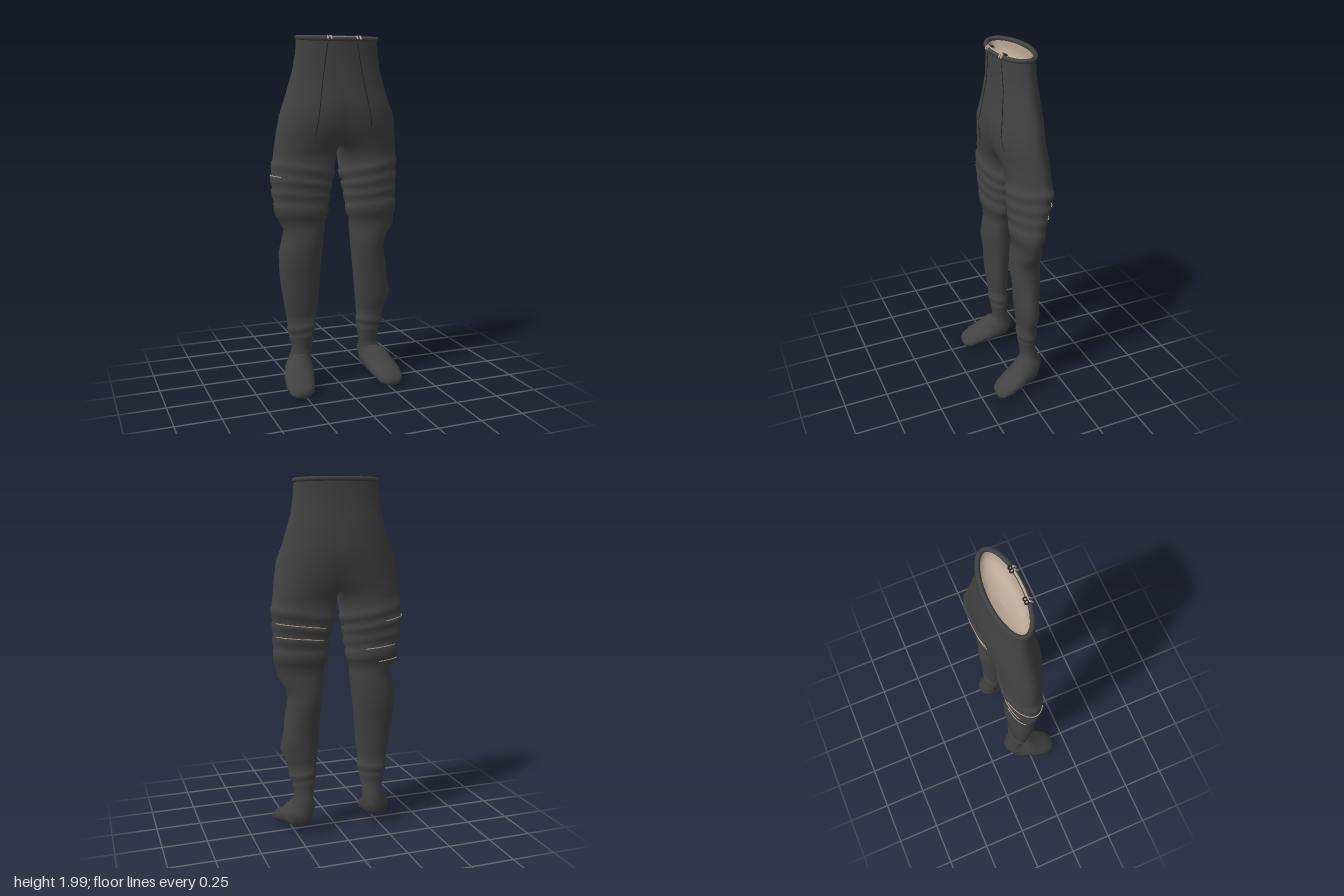
import * as THREE from 'three';
import { mergeVertices, toCreasedNormals } from 'three/addons/utils/BufferGeometryUtils.js';

const ARC = 24, INNER = 6, N = ARC + INNER; // points around each cross-section

// Body sections: y, inner x, outer x (left), outer x (right), front z, back z.
// A negative inner x is cut at the middle, which joins both halves into the hips.
const SECTIONS = [
  [1.975, -0.235, 0.235, 0.235, 0.057, -0.127],
  [1.9, -0.24, 0.24, 0.24, 0.058, -0.13],
  [1.8, -0.257, 0.257, 0.257, 0.06, -0.142],
  [1.65, -0.296, 0.303, 0.303, 0.082, -0.165],
  [1.56, -0.27, 0.337, 0.337, 0.093, -0.16],
  [1.46, -0.17, 0.357, 0.357, 0.072, -0.15],
  [1.4, -0.07, 0.365, 0.365, 0.058, -0.145],
  [1.365, 0.0, 0.37, 0.37, 0.052, -0.143],
  [1.29, 0.018, 0.378, 0.374, 0.044, -0.138],
  [1.2, 0.036, 0.368, 0.384, 0.044, -0.132],
  [1.1, 0.052, 0.362, 0.376, 0.036, -0.117],
  [0.985, 0.072, 0.354, 0.352, 0.03, -0.112],
  [0.93, 0.076, 0.345, 0.315, 0.032, -0.118],
  [0.86, 0.083, 0.298, 0.33, 0.038, -0.124],
  [0.8, 0.09, 0.285, 0.344, 0.042, -0.13],
  [0.7, 0.1, 0.305, 0.342, 0.027, -0.121],
  [0.61, 0.108, 0.312, 0.334, 0.023, -0.112],
  [0.52, 0.114, 0.333, 0.318, 0.018, -0.107],
  [0.44, 0.123, 0.303, 0.305, 0.006, -0.106],
  [0.3, 0.138, 0.262, 0.28, -0.012, -0.1],
  [0.23, 0.15, 0.257, 0.266, -0.019, -0.11],
];

// Gathered cloth rolls: y and how far the cloth stands out
const FOLDS = [
  [1.29, 0.001], [1.283, 0.009], [1.25, 0.008], [1.217, 0], [1.21, 0.007], [1.18, 0.008],
  [1.147, 0], [1.14, 0.006], [1.11, 0.008], [1.075, 0], [1.068, 0.006], [1.03, 0.009], [1.0, 0.007], [0.985, -0.002],
  [0.38, -0.001], [0.372, 0.006], [0.345, 0.007], [0.322, -0.001], [0.315, 0.004], [0.3, 0.003],
];

// Foot sections: y, z, centre x, half width, half height, pitch in degrees
const FOOT = [
  [0.175, -0.081, 0.214, 0.067, 0.07, 25],
  [0.135, -0.058, 0.232, 0.08, 0.085, 55],
  [0.093, 0.025, 0.252, 0.089, 0.054, 74],
  [0.065, 0.09, 0.266, 0.084, 0.047, 80],
  [0.042, 0.14, 0.27, 0.07, 0.035, 86],
  [0.034, 0.162, 0.272, 0.045, 0.024, 88],
];

// Folds climb towards the outside of the thigh, most of all at the top
function foldSlant(y) {
  if (y > 0.98 && y < 1.3) return 0.05 + 0.4 * (y - 0.98);
  return y >= 0.3 && y < 0.39 ? -0.1 : 0;
}

// Interpolated body section at height y
function sectionAt(y, right, bulge = 0) {
  let i = 0;
  while (i < SECTIONS.length - 2 && SECTIONS[i + 1][0] > y) i++;
  const a = SECTIONS[i], b = SECTIONS[i + 1];
  const t = (a[0] - y) / (a[0] - b[0]);
  const s = a.map((v, k) => v + (b[k] - v) * t);
  const out = right ? s[3] : s[2];
  // The outside of the thigh swings back on the left and forward on the right
  const swing = Math.max(0, 1 - Math.abs(y - 1.27) / 0.3) * (right ? 0.07 : -0.2);
  return {
    cx: (s[1] + out) / 2, rx: (out - s[1]) / 2 + bulge,
    cy: y, cz: (s[4] + s[5]) / 2, rz: (s[4] - s[5]) / 2 + bulge,
    pitch: y > 1.95 ? -0.1 : 0, slant: foldSlant(y), swing,
  };
}

// Point on a section at an angle, measured from the outer side to the front
function ringPoint(r, angle, side) {
  const x = Math.max(0, r.cx + r.rx * Math.cos(angle));
  const u = r.rz * Math.sin(angle);
  return [
    side * x,
    r.cy + u * Math.sin(r.pitch) + r.slant * (x - r.cx),
    r.cz + u * Math.cos(r.pitch) + r.swing * Math.max(0, x - r.cx),
  ];
}

function sideRings(right) {
  const plain = SECTIONS.map(s => [s[0], 0]).filter(([y]) => foldSlant(y) === 0);
  const rows = [...plain, ...FOLDS].sort((a, b) => b[0] - a[0]);
  const rings = rows.map(([y, bulge]) => sectionAt(y, right, bulge));
  for (const [cy, cz, cx, rx, rz, deg] of FOOT)
    rings.push({ cx, rx, cy, cz, rz, pitch: deg * Math.PI / 180, slant: 0, swing: 0 });
  return rings;
}

// One continuous skin: waist, hips, both legs and both feet
function bodyGeometry() {
  const pos = [], index = [];
  for (const side of [1, -1]) {
    const start = pos.length / 3;
    const rings = sideRings(side < 0);
    for (const r of rings) {
      // The outer arc ends exactly where the section meets the middle
      const end = Math.min(2.6, Math.acos(Math.max(-1, -r.cx / r.rx)));
      for (let j = 0; j < N; j++) {
        const a = j <= ARC ? -end + 2 * end * j / ARC : end + (2 * Math.PI - 2 * end) * (j - ARC) / INNER;
        pos.push(...ringPoint(r, a, side));
      }
    }
    const tri = (a, b, c) => {
      if ([a, b, c].every(k => Math.abs(pos[k * 3]) < 1e-6)) return; // no wall in the middle
      if (side > 0) index.push(a, b, c); else index.push(a, c, b);
    };
    for (let i = 0; i < rings.length - 1; i++) {
      for (let j = 0; j < N; j++) {
        const a = start + i * N + j, b = start + i * N + (j + 1) % N;
        tri(a, b, a + N);
        tri(b, b + N, a + N);
      }
    }
    // Toe cap
    const tip = pos.length / 3, last = start + (rings.length - 1) * N;
    pos.push(side * 0.272, 0.032, 0.17);
    for (let j = 0; j < N; j++) tri(last + j, last + (j + 1) % N, tip);
  }
  const g = new THREE.BufferGeometry();
  g.setAttribute('position', new THREE.Float32BufferAttribute(pos, 3));
  g.setIndex(index);
  return toCreasedNormals(mergeVertices(g, 1e-5), 1.1);
}

function tube(points, radius, closed = false, segments = 24) {
  const curve = new THREE.CatmullRomCurve3(points.map(p => new THREE.Vector3(...p)), closed);
  return new THREE.TubeGeometry(curve, segments, radius, 8, closed);
}

export function createModel() {
  const cloth = new THREE.MeshStandardMaterial({ color: 0x424242 });
  cloth.name = 'dark grey cloth';
  const tan = new THREE.MeshStandardMaterial({ color: 0xbcaa99 });
  tan.name = 'tan lining';
  const black = new THREE.MeshStandardMaterial({ color: 0x222222 });
  black.name = 'black thread';

  const model = new THREE.Group();
  model.name = 'leggings';
  const add = (name, geometry, material) => {
    const mesh = new THREE.Mesh(geometry, material);
    mesh.name = name;
    model.add(mesh);
    return mesh;
  };

  add('leggingsCloth', bodyGeometry(), cloth);

  // Tan lining: a bowl inside the waist, listed from rim to floor so that it faces inwards
  const bowl = [[1, 0], [0.99, -0.04], [0.95, -0.07], [0.8, -0.095], [0.5, -0.11], [0.001, -0.115]];
  const lining = new THREE.LatheGeometry(bowl.map(p => new THREE.Vector2(...p)), 40);
  lining.scale(0.23, 1, 0.086);
  const liningMesh = add('innerLining', lining, tan);
  liningMesh.position.set(0, 1.974, -0.035);
  liningMesh.rotation.x = 0.1;

  // Rolled waistband, higher at the back
  const rim = (a, dy = 0, inset = 0) => {
    const z = -0.035 + (0.09 - inset) * Math.sin(a);
    return [(0.233 - inset) * Math.cos(a), 1.977 + dy - 0.1 * (z + 0.035), z];
  };
  const loop = Array.from({ length: 28 }, (_, i) => rim(i / 28 * Math.PI * 2));
  add('waistband', tube(loop, 0.0125, true, 56), cloth);

  // Drawstring over the front of the band, with a knot at each end
  const cord = Array.from({ length: 7 }, (_, i) => rim(Math.PI / 2 + (i - 3) * 0.13, 0.009, 0.004));
  add('drawstring', tube(cord, 0.006), tan);
  for (const x of [-0.077, 0.092]) {
    for (const dx of [-0.009, 0.009]) {
      add('drawstringEnd', tube([[x + dx * 0.5, 1.978, 0.036], [x + dx, 1.984, 0.05], [x + dx * 1.2, 1.966, 0.063]], 0.005, false, 10), tan);
      const knot = add('drawstringKnot', new THREE.TorusGeometry(0.009, 0.0035, 6, 12), black);
      knot.position.set(x + dx, 1.982, 0.035);
      knot.rotation.x = Math.PI / 2.5;
    }
  }

  // Slanted front seams that follow the cloth
  for (const side of [1, -1]) {
    const pts = [];
    for (let i = 0; i <= 12; i++) {
      const t = i / 12, y = 1.95 - (side > 0 ? 0.45 : 0.5) * t;
      const s = sectionAt(y, side < 0);
      const x = 0.085 + 0.08 * t;
      pts.push(ringPoint(s, Math.acos((x - s.cx) / s.rx), side));
    }
    add('frontSeam', tube(pts, 0.0025, false, 30), black);
  }

  // Slivers of lining showing in the folds: side, y, start and end angle
  const gaps = [[-1, 1.212, -1.3, 0.7], [-1, 0.99, -1.5, -0.3], [1, 1.212, -2.3, -0.4], [1, 1.142, -2.3, -0.4], [-1, 1.07, -2, -0.8]];
  for (const [side, y, from, to] of gaps) {
    const s = sectionAt(y, side < 0, 0.007);
    const pts = Array.from({ length: 12 }, (_, i) => ringPoint(s, from + (to - from) * i / 11, side));
    add('foldGap', tube(pts, 0.0025), tan);
  }
  return model;
}
